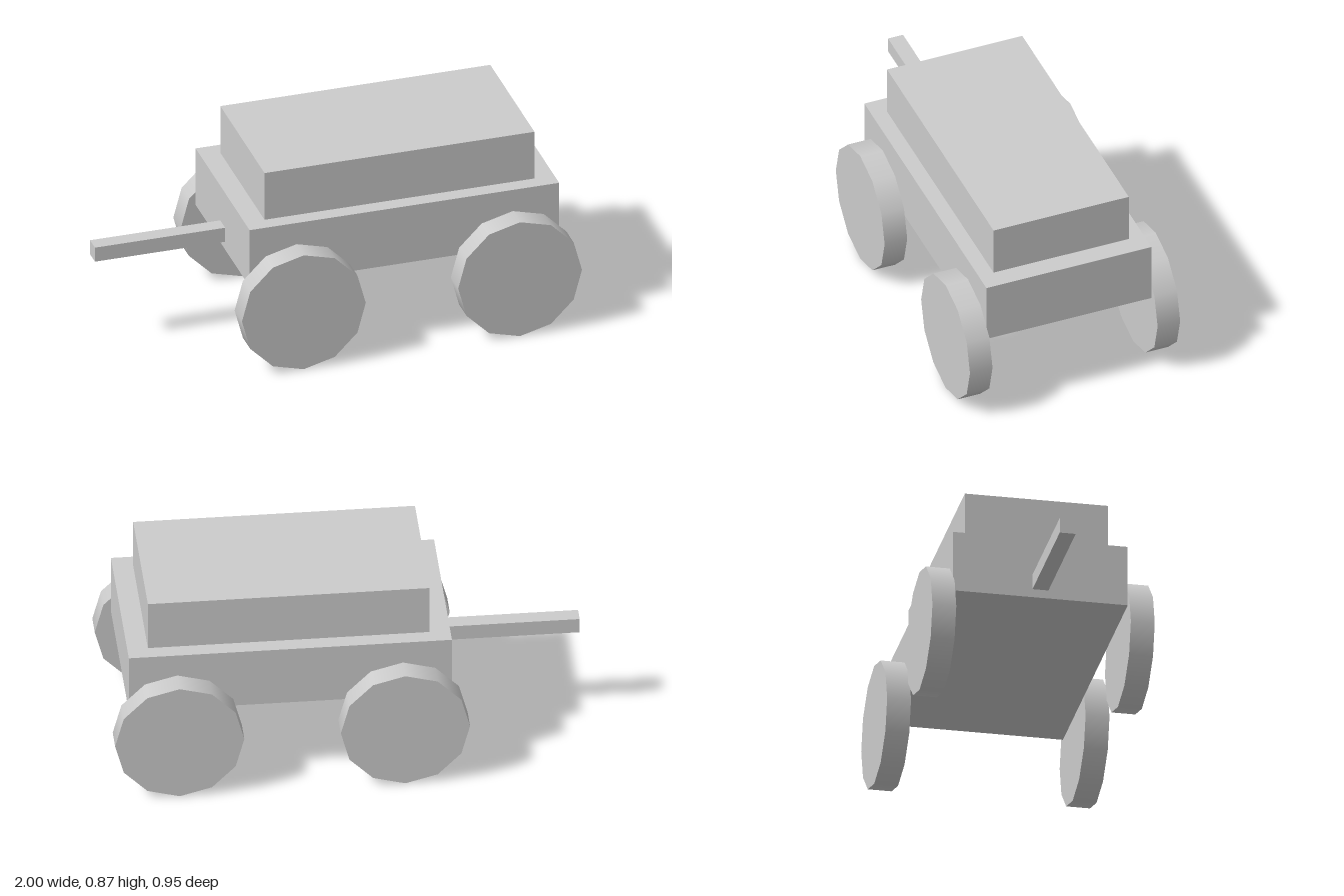
import * as THREE from 'three';

export function createModel() {
  const cart = new THREE.Group();
  cart.name = 'cart';
  const material = new THREE.MeshStandardMaterial({ color: 0xcccccc });

  const add = (name, geometry, x, y, z) => {
    const mesh = new THREE.Mesh(geometry, material);
    mesh.name = name;
    mesh.position.set(x, y, z);
    cart.add(mesh);
  };

  // Box given by its x and y limits, centred on z = 0
  const addBox = (name, x0, x1, y0, y1, depth) =>
    add(name, new THREE.BoxGeometry(x1 - x0, y1 - y0, depth), (x0 + x1) / 2, (y0 + y1) / 2, 0);

  addBox('bed', -0.428, 0.932, 0.375, 0.645, 0.746);
  addBox('cargo', -0.341, 0.845, 0.645, 0.868, 0.611);
  addBox('tongue', -1, -0.428, 0.412, 0.479, 0.068);

  // Twelve-sided wheels with smooth rims, flush against the bed sides
  const radius = 0.272, width = 0.102;
  const wheel = new THREE.CylinderGeometry(radius, radius, width, 12).rotateX(Math.PI / 2);
  for (const [end, x] of [['front', -0.222], ['rear', 0.728]]) {
    for (const [side, s] of [['Left', 1], ['Right', -1]]) {
      add(`${end}Wheel${side}`, wheel, x, radius, s * (0.373 + width / 2));
    }
  }
  return cart;
}
